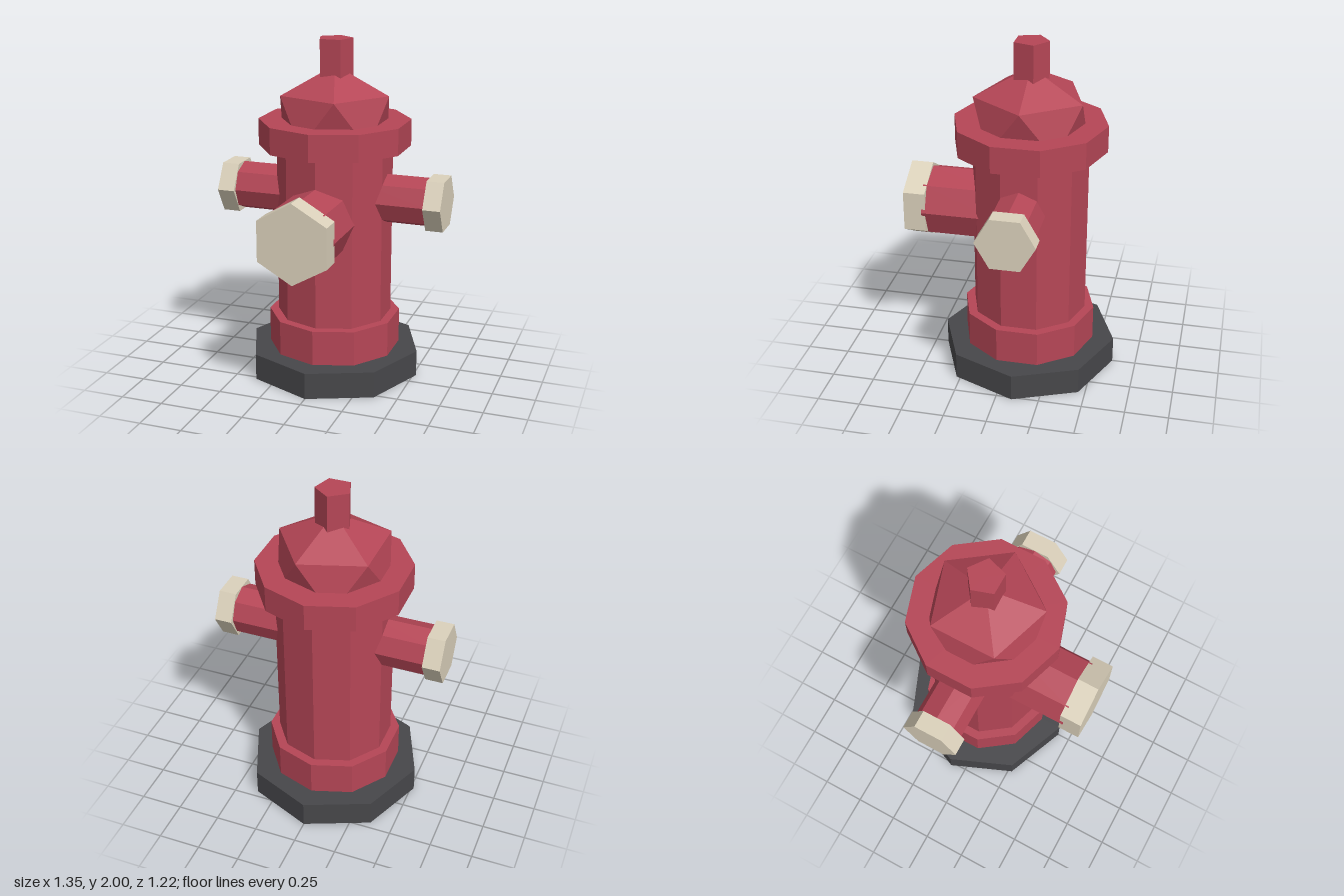
import * as THREE from 'three';
import { ConvexGeometry } from 'three/addons/geometries/ConvexGeometry.js';

const red = new THREE.MeshStandardMaterial({ color: 0xb54656 });
red.name = 'hydrant red';
const cream = new THREE.MeshStandardMaterial({ color: 0xdbd1bb });
cream.name = 'cap cream';
const dark = new THREE.MeshStandardMaterial({ color: 0x47474a });
dark.name = 'base charcoal';

// Faceted prism from 'from' to 'to' along y, with one corner facing +z
function prism(radius, sides, from, to) {
  const geometry = new THREE.CylinderGeometry(radius, radius, to - from, sides).toNonIndexed();
  geometry.computeVertexNormals();
  return geometry.translate(0, (from + to) / 2, 0);
}

// Five-sided faceted dome: apex, upper ring and a lower ring turned by half a step
function domeGeometry() {
  const points = [new THREE.Vector3(0, 1.845, 0)];
  for (let i = 0; i < 10; i++) {
    const a = (i * Math.PI) / 5;
    points.push(new THREE.Vector3(0.323 * Math.cos(a), i % 2 ? 1.42 : 1.685, 0.323 * Math.sin(a)));
  }
  return new ConvexGeometry(points);
}

export function createModel() {
  const model = new THREE.Group();
  model.name = 'fireHydrant';
  const add = (name, geometry, material, parent = model) => {
    const mesh = new THREE.Mesh(geometry, material);
    mesh.name = name;
    parent.add(mesh);
    return mesh;
  };

  // Upright column; its axis sits behind the centre because of the front outlet
  const column = new THREE.Group();
  column.name = 'column';
  column.position.z = -0.093;
  model.add(column);
  add('base', prism(0.518, 8, 0, 0.157), dark, column);
  add('lowerCollar', prism(0.39, 10, 0.157, 0.365), red, column);
  add('barrel', prism(0.337, 10, 0.365, 1.38), red, column);
  add('flange', prism(0.441, 10, 1.38, 1.535), red, column);
  add('dome', domeGeometry(), red, column);
  add('topNut', prism(0.104, 5, 1.75, 2).rotateY(Math.PI), red, column);

  // Side outlets
  for (const [side, s] of [['left', 1], ['right', -1]]) {
    const outlet = new THREE.Group();
    outlet.name = side + 'Outlet';
    outlet.position.set(0, 1.09, -0.093);
    outlet.rotation.z = -s * Math.PI / 2;
    model.add(outlet);
    add(side + 'Pipe', prism(0.144, 8, 0.2, 0.59), red, outlet);
    add(side + 'Cap', prism(0.168, 6, 0.573, 0.675), cream, outlet);
  }

  // Large front outlet
  const front = new THREE.Group();
  front.name = 'frontOutlet';
  front.position.y = 0.99;
  front.rotation.x = Math.PI / 2;
  model.add(front);
  add('frontPipe', prism(0.209, 8, 0.05, 0.505), red, front);
  add('frontCap', prism(0.232, 6, 0.483, 0.61), cream, front);

  return model;
}
